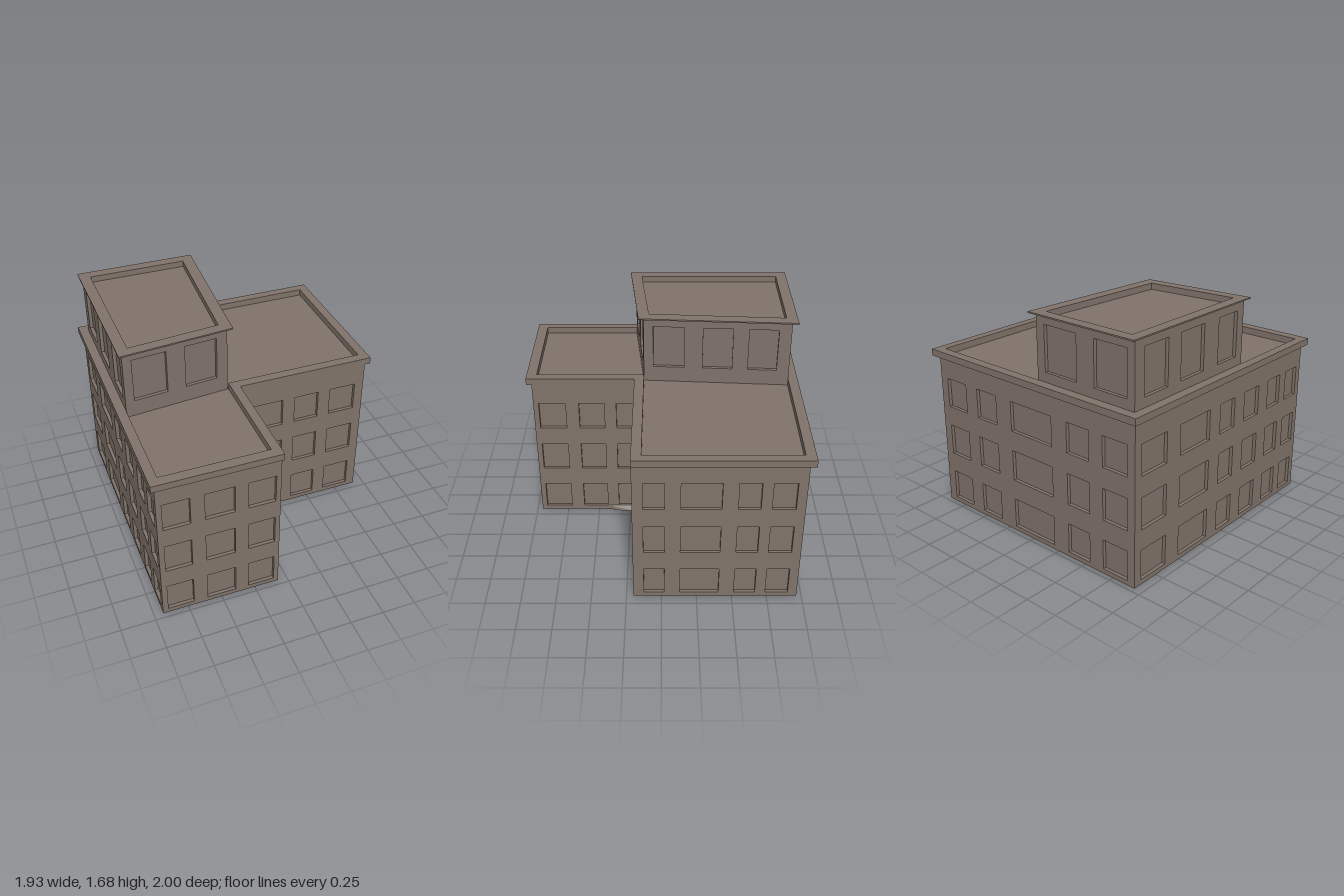
import * as THREE from 'three';

const masonry = new THREE.MeshStandardMaterial({ color: 0x80736a, side: THREE.DoubleSide });
masonry.name = 'brown masonry';

const RECESS = 0.025;

function add(parent, name, geometry) {
  const mesh = new THREE.Mesh(geometry, masonry);
  mesh.name = name;
  parent.add(mesh);
  return mesh;
}

// Plan outline given as [x, z] corners
const plan = (pts) => pts.map(([x, z]) => new THREE.Vector2(x, -z));

// Horizontal ring between two outlines, from y0 to y1
function ring(parent, name, outer, inner, y0, y1) {
  const shape = new THREE.Shape(plan(outer));
  shape.holes.push(new THREE.Path(plan(inner)));
  const geo = new THREE.ExtrudeGeometry(shape, { depth: y1 - y0, bevelEnabled: false });
  add(parent, name, geo.rotateX(-Math.PI / 2).translate(0, y0, 0));
}

// Flat roof surface
function deck(parent, name, outline, y) {
  const geo = new THREE.ShapeGeometry(new THREE.Shape(plan(outline)));
  add(parent, name, geo.rotateX(-Math.PI / 2).translate(0, y, 0));
}

// Thin wall from p to q (left to right seen from outside) with recessed windows.
// Columns are world coordinates along the wall's main axis.
function wall(parent, name, p, q, y0, y1, cols, rows) {
  const dx = q[0] - p[0], dz = q[1] - p[1], len = Math.hypot(dx, dz);
  const axis = Math.abs(dx) > Math.abs(dz) ? 0 : 1;
  const along = (c) => ((c - p[axis]) / (q[axis] - p[axis])) * len;
  const group = new THREE.Group();
  group.name = name;
  group.position.set(p[0], 0, p[1]);
  group.rotation.y = Math.atan2(-dz, dx);
  parent.add(group);

  const rect = (Type, a, b, c, d) => new Type([[a, b], [c, b], [c, d], [a, d]].map((v) => new THREE.Vector2(...v)));
  const shape = rect(THREE.Shape, 0, y0, len, y1);
  for (const [c0, c1] of cols) {
    const a = along(c0), b = along(c1);
    for (const [r0, r1] of rows) {
      shape.holes.push(rect(THREE.Path, a, r0, b, r1));
      // Recess: a box without its outer face
      const box = new THREE.BoxGeometry(b - a, r1 - r0, RECESS);
      const index = Array.from(box.index.array);
      index.splice(24, 6);
      box.setIndex(index);
      box.clearGroups();
      add(group, 'window', box.translate((a + b) / 2, (r0 + r1) / 2, -RECESS / 2));
    }
  }
  add(group, 'wallFace', new THREE.ShapeGeometry(shape));
}

export function createModel() {
  const model = new THREE.Group();
  model.name = 'building';

  // Main L-shaped block
  const main = new THREE.Group();
  main.name = 'mainBlock';
  model.add(main);
  const W = -0.935, E = 0.92, N = -0.965, S = 0.96, nx = -0.07, nz = 0.2, top = 1.165;
  const floors = [[0.035, 0.255], [0.405, 0.635], [0.785, 1.005]];
  const walls = [
    ['wingFrontWall', [W, S], [nx, S], [[-0.895, -0.705], [-0.605, -0.395], [-0.3, -0.105]]],
    ['wingSideWall', [nx, S], [nx, nz], [[0.92, 0.72], [0.62, 0.43], [0.34, 0.202]]],
    ['frontWall', [nx, nz], [E, nz], [[-0.068, 0.265], [0.36, 0.55], [0.645, 0.85]]],
    ['leftWall', [E, nz], [E, N], [[0.125, -0.02], [-0.13, -0.405], [-0.515, -0.665], [-0.74, -0.9]]],
    ['backWall', [E, N], [W, N],
      [[0.85, 0.65], [0.53, 0.33], [0.18, -0.21], [-0.35, -0.545], [-0.665, -0.875]]],
    ['rightWall', [W, N], [W, S],
      [[-0.9, -0.65], [-0.51, -0.19], [-0.07, 0.1], [0.22, 0.4], [0.52, 0.68], [0.76, 0.91]]],
  ];
  for (const [name, p, q, cols] of walls) wall(main, name, p, q, 0, top, cols, floors);

  // Parapet and sunken roof
  const ell = (w, e, n, s, ix, iz) => [[w, s], [ix, s], [ix, iz], [e, iz], [e, n], [w, n]];
  const roofInner = ell(-0.9, 0.895, -0.93, 0.925, -0.135, 0.13);
  ring(main, 'parapet', ell(-0.967, 0.963, -1, 1, nx, nz), roofInner, top, 1.215);
  deck(main, 'roof', roofInner, top);

  // Skewed rooftop storey
  const upper = new THREE.Group();
  upper.name = 'rooftopStorey';
  model.add(upper);
  const foot = [[-0.9, 0.2], [-0.14, 0.13], [-0.07, -0.93], [-0.9, -0.93]];
  const roofEdge = [[-0.925, 0.24], [-0.11, 0.165], [-0.037, -0.97], [-0.925, -0.97]];
  const sunken = [[-0.845, 0.152], [-0.19, 0.09], [-0.125, -0.89], [-0.845, -0.89]];
  const upperCols = [
    ['upperFrontWall', [[-0.835, -0.59], [-0.455, -0.22]]],
    ['upperLeftWall', [[0.06, -0.165], [-0.3, -0.515], [-0.63, -0.84]]],
    ['upperBackWall', [[-0.14, -0.42], [-0.57, -0.84]]],
    ['upperRightWall', [[-0.84, -0.61], [-0.48, -0.24], [-0.08, 0.13]]],
  ];
  upperCols.forEach(([name, cols], i) =>
    wall(upper, name, foot[i], foot[(i + 1) % 4], top, 1.64, cols, [[1.285, 1.61]]));
  ring(upper, 'upperParapet', foot, sunken, 1.64, 1.675);
  ring(upper, 'roofLip', roofEdge, sunken, 1.675, 1.685);
  deck(upper, 'upperRoof', sunken, 1.64);

  // Small sloping wedge at the foot of the inner corner
  const wedge = new THREE.BufferGeometry();
  wedge.setAttribute('position', new THREE.Float32BufferAttribute([
    nx, 0.037, 0.2, nx, 0.037, 0.42, -0.037, 0, 0.2,
    nx, 0.037, 0.42, -0.05, 0, 0.34, -0.037, 0, 0.2,
    nx, 0.037, 0.42, nx, 0, 0.42, -0.05, 0, 0.34,
  ], 3));
  wedge.computeVertexNormals();
  add(model, 'cornerWedge', wedge);

  return model;
}
